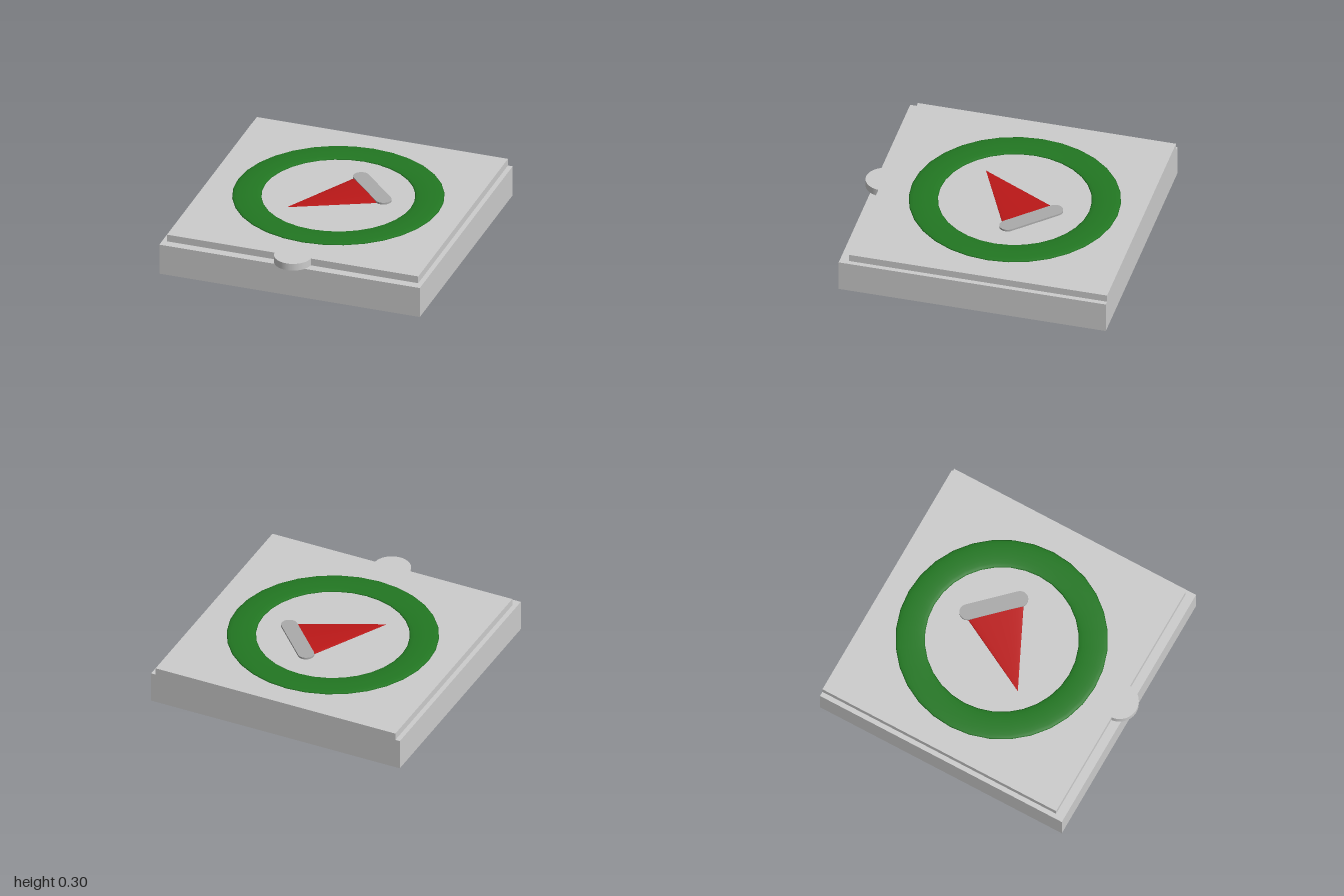
import * as THREE from 'three';

const material = (color) => new THREE.MeshStandardMaterial({ color });

function addMesh(parent, name, geometry, mat, x = 0, y = 0, z = 0) {
  const mesh = new THREE.Mesh(geometry, mat);
  mesh.name = name;
  mesh.position.set(x, y, z);
  parent.add(mesh);
  return mesh;
}

// Extrudes an outline drawn in (x, z) downwards from y = 0
function slab(shape, depth, curveSegments) {
  const geometry = new THREE.ExtrudeGeometry(shape, { depth, bevelEnabled: false, curveSegments });
  return geometry.rotateX(Math.PI / 2);
}

export function createModel() {
  const group = new THREE.Group();
  group.name = 'boxWithDial';
  const grey = material(0xcccccc);
  const lidTop = 0.283;

  // Box body, flush with the lid at the back
  addMesh(group, 'base', new THREE.BoxGeometry(1.94, 0.23, 1.94), grey, 0, 0.115, -0.03);

  // Lid with a rounded thumb tab on its front edge
  const lid = new THREE.Shape();
  const tabStart = 0.074;
  lid.moveTo(-0.935, -1);
  lid.lineTo(0.935, -1);
  lid.lineTo(0.935, 0.875);
  lid.absarc(0, 0.865, 0.135, tabStart, Math.PI - tabStart, false);
  lid.lineTo(-0.935, 0.875);
  lid.closePath();
  addMesh(group, 'lid', slab(lid, lidTop - 0.23, 24), grey, 0, lidTop, 0);

  // Flattened ring lying on the lid
  const ring = new THREE.TorusGeometry(0.643, 0.103, 16, 32).rotateX(Math.PI / 2).scale(1, 0.12, 1);
  addMesh(group, 'ring', ring, material(0x227722), 0, lidTop, -0.08);

  // Pointer: flattened cone with a rounded bar across its wide end
  const pointer = new THREE.Group();
  pointer.name = 'pointer';
  pointer.position.set(0.15, lidTop, -0.21);
  pointer.rotation.y = -Math.PI / 4 - 0.02;
  group.add(pointer);

  const cone = new THREE.ConeGeometry(0.2, 0.6, 32).rotateX(Math.PI / 2).scale(1, 0.06, 1);
  addMesh(pointer, 'pointerCone', cone, material(0xbb1818), 0, 0, 0.3);

  const bar = new THREE.Shape();
  bar.absarc(0.19, 0, 0.058, -Math.PI / 2, Math.PI / 2, false);
  bar.absarc(-0.19, 0, 0.058, Math.PI / 2, Math.PI * 1.5, false);
  bar.closePath();
  addMesh(pointer, 'pointerBar', slab(bar, 0.02, 8), material(0xaaaaaa), 0, 0.014, -0.058);

  return group;
}
